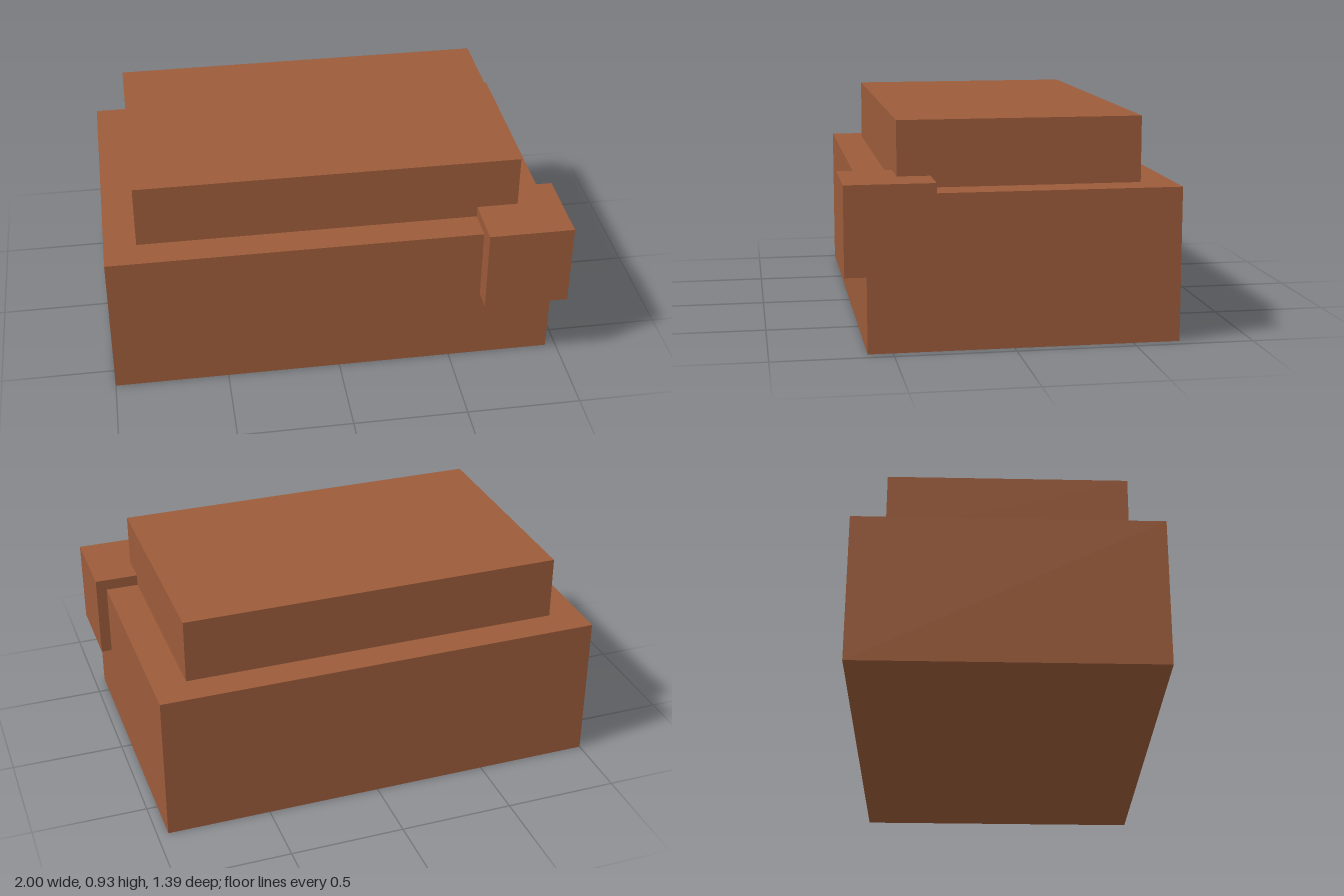
import * as THREE from 'three';

export function createModel() {
  const model = new THREE.Group();
  const brown = new THREE.MeshStandardMaterial({ color: 0x9c5b3a });
  brown.name = 'brown';

  // Adds a box spanning two opposite corners
  function addBox(name, min, max) {
    const [w, h, d] = max.map((v, i) => v - min[i]);
    const mesh = new THREE.Mesh(new THREE.BoxGeometry(w, h, d), brown);
    mesh.position.set(...max.map((v, i) => (v + min[i]) / 2));
    mesh.name = name;
    model.add(mesh);
  }

  addBox('base', [-1, 0, -0.697], [0.953, 0.651, 0.604]);
  addBox('lid', [-0.86, 0.651, -0.558], [0.808, 0.93, 0.465]);
  // Cube set into the front left corner
  addBox('cornerBlock', [0.628, 0.328, 0.326], [1, 0.7, 0.697]);

  return model;
}
